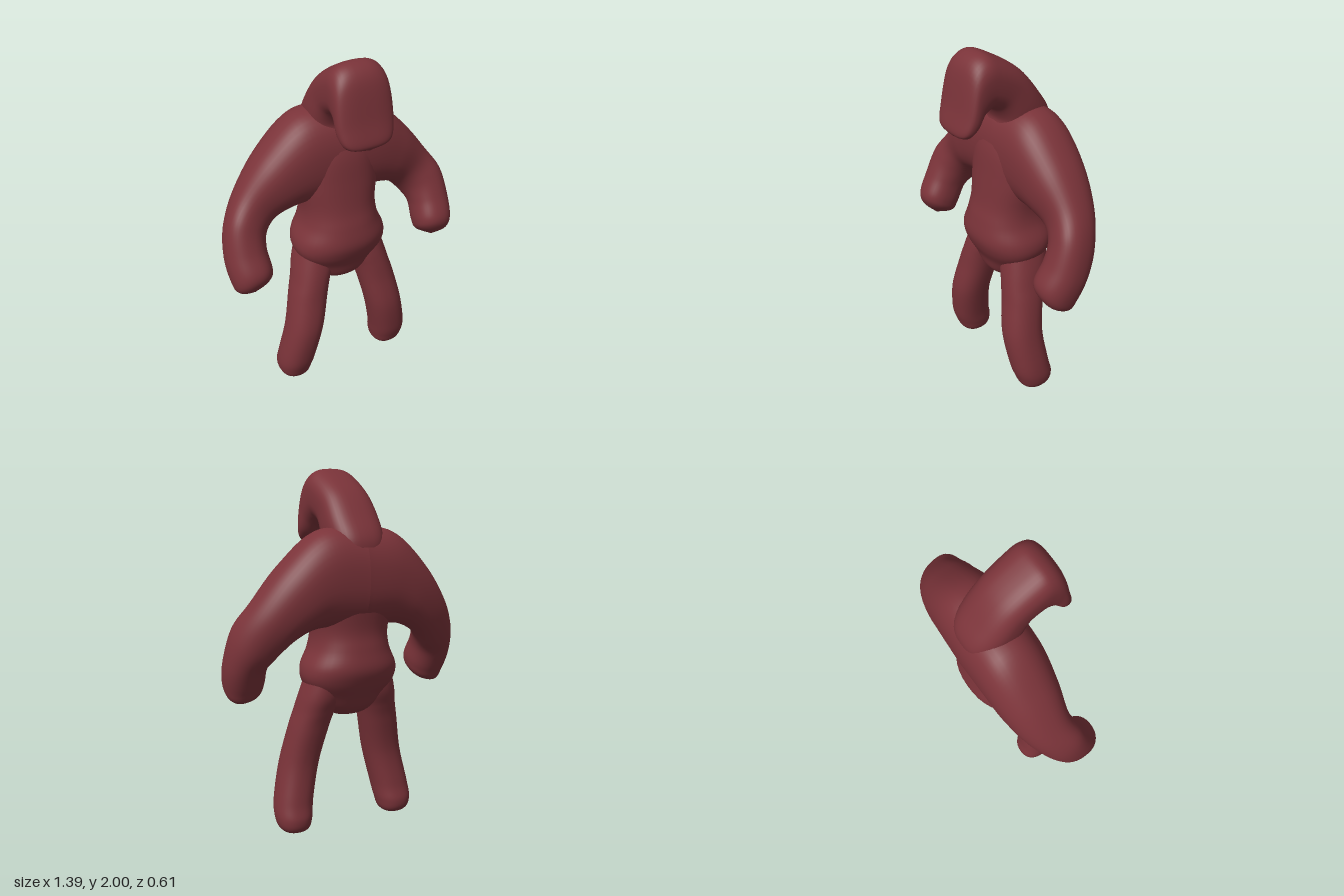
import * as THREE from 'three';

const skin = new THREE.MeshStandardMaterial({ color: 0x7a3339, roughness: 0.8 });

// Smooth closed skin through sections [centre, half-axis u, half-axis v]; power > 2 makes it boxier.
function loft(name, sections, power = 2.3, rows = 64, sides = 40) {
  const [centre, uAxis, vAxis] = [0, 1, 2].map(k => new THREE.CatmullRomCurve3(
    sections.map(s => new THREE.Vector3(...s[k])), false, 'catmullrom', 0.5));
  const round = a => Math.sign(a) * Math.abs(a) ** (2 / power);
  const positions = [], index = [];
  for (let i = 0; i <= rows; i++) {
    const c = centre.getPoint(i / rows), u = uAxis.getPoint(i / rows), v = vAxis.getPoint(i / rows);
    for (let j = 0; j < sides; j++) {
      const a = j / sides * Math.PI * 2;
      const p = c.clone().addScaledVector(u, round(Math.cos(a))).addScaledVector(v, round(Math.sin(a)));
      positions.push(p.x, p.y, p.z);
      if (i === rows) continue;
      const k = (j + 1) % sides, r = i * sides, n = r + sides;
      index.push(r + j, r + k, n + k, r + j, n + k, n + j);
    }
  }
  const geometry = new THREE.BufferGeometry();
  geometry.setAttribute('position', new THREE.Float32BufferAttribute(positions, 3));
  geometry.setIndex(index);
  geometry.computeVertexNormals();
  const mesh = new THREE.Mesh(geometry, skin);
  mesh.name = name;
  return mesh;
}

// Mirror sections across x; v is also negated so the faces still point outwards.
const mirror = sections => sections.map(([c, u, v]) =>
  [[-c[0], c[1], c[2]], [-u[0], u[1], u[2]], [v[0], -v[1], -v[2]]]);

// Level torso section: height, half width, back z, front z
const level = (y, w, back, front) =>
  [[0, y, (front + back) / 2], [-w, 0, 0], [0, 0, (front - back) / 2]];

// Head section: half width, then the back/outer and front/inner points as [y, z]
const bend = (w, [y0, z0], [y1, z1]) =>
  [[0, (y0 + y1) / 2, (z0 + z1) / 2], [-w, 0, 0], [0, (y1 - y0) / 2, (z1 - z0) / 2]];

export function createModel() {
  const group = new THREE.Group();
  group.name = 'figure';

  // Pelvis, belly and chest
  group.add(loft('torso', [
    level(0.66, 0, -0.03, -0.03),
    level(0.67, 0.08, -0.10, 0.03),
    level(0.71, 0.14, -0.16, 0.08),
    level(0.79, 0.205, -0.205, 0.11),
    level(0.87, 0.262, -0.25, 0.15),
    level(0.95, 0.265, -0.275, 0.17),
    level(1.05, 0.222, -0.262, 0.155),
    level(1.15, 0.212, -0.25, 0.13),
    level(1.30, 0.235, -0.27, 0.11),
    level(1.45, 0.23, -0.285, 0.09),
    level(1.56, 0.19, -0.27, 0.05),
    level(1.63, 0.12, -0.22, 0.01),
    level(1.66, 0, -0.1, -0.1),
  ]));

  // Neck arching forwards into a downward-hanging head
  group.add(loft('head', [
    bend(0.13, [1.5, -0.27], [1.5, 0.05]),
    bend(0.15, [1.63, -0.265], [1.57, 0.05]),
    bend(0.155, [1.75, -0.19], [1.63, 0.04]),
    bend(0.15, [1.88, -0.08], [1.69, 0.07]),
    bend(0.152, [1.97, 0.06], [1.71, 0.11]),
    bend(0.154, [2.0, 0.155], [1.70, 0.135]),
    bend(0.156, [1.93, 0.235], [1.68, 0.165]),
    bend(0.154, [1.73, 0.28], [1.64, 0.205]),
    bend(0.115, [1.625, 0.305], [1.60, 0.25]),
    bend(0, [1.588, 0.285], [1.588, 0.285]),
  ], 2.7));

  // Shoulder to hand, sweeping out, down and forwards
  const arm = [
    [[0, 1.43, -0.11], [0, 0.27, 0], [0, 0, 0.19]],
    [[0.2, 1.42, -0.11], [0.02, 0.25, 0], [0, 0, 0.183]],
    [[0.35, 1.33, -0.11], [0.07, 0.17, 0], [0, 0.01, 0.165]],
    [[0.47, 1.215, -0.1], [0.1, 0.095, 0], [0, 0.03, 0.133]],
    [[0.55, 1.11, -0.055], [0.11, 0.05, 0], [0, 0.06, 0.115]],
    [[0.58, 1.0, 0], [0.112, 0, 0], [0, 0.05, 0.11]],
    [[0.575, 0.89, 0.055], [0.11, -0.015, 0], [0, 0.05, 0.108]],
    [[0.57, 0.825, 0.068], [0.085, -0.02, 0], [0, 0.04, 0.08]],
    [[0.57, 0.79, 0.08], [0, 0, 0], [0, 0, 0]],
  ];
  group.add(loft('leftArm', arm), loft('rightArm', mirror(arm)));

  // Thigh to rounded foot: centre, half width, half depth
  const leg = [
    [[0.14, 0.95, -0.07], 0.09, 0.12],
    [[0.165, 0.8, -0.045], 0.112, 0.13],
    [[0.195, 0.7, -0.02], 0.107, 0.122],
    [[0.222, 0.6, 0], 0.108, 0.115],
    [[0.267, 0.4, 0.03], 0.107, 0.113],
    [[0.31, 0.2, 0.012], 0.106, 0.112],
    [[0.322, 0.1, -0.012], 0.1, 0.108],
    [[0.32, 0.035, -0.018], 0.075, 0.08],
    [[0.315, 0.002, -0.015], 0, 0],
  ].map(([c, w, d]) => [c, [w, 0, 0], [0, 0, d]]);
  group.add(loft('leftLeg', leg), loft('rightLeg', mirror(leg)));

  return group;
}
